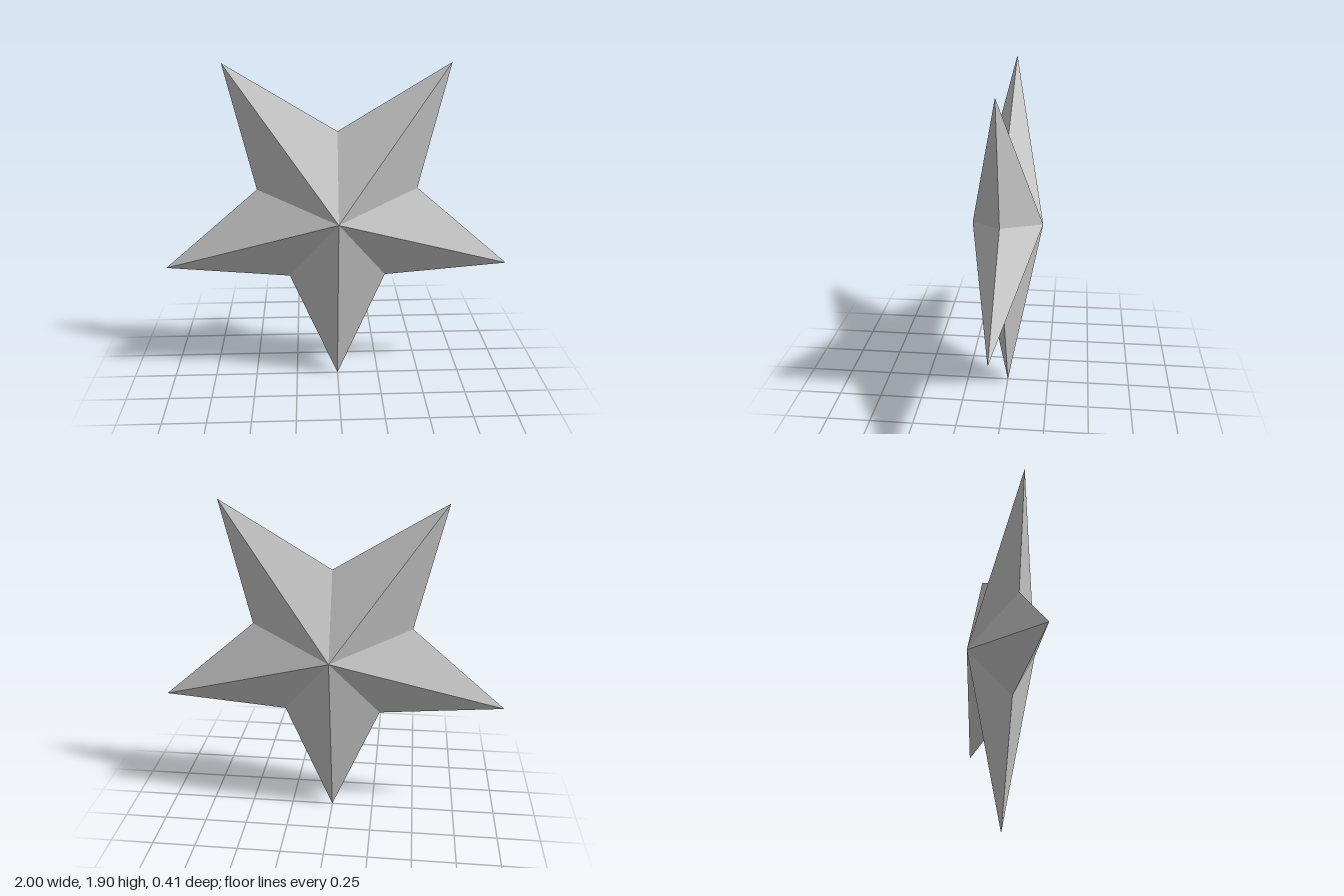
import * as THREE from 'three';

const POINTS = 5;
const OUTER = 1.0515; // tip radius
const INNER = 0.478; // notch radius
const DEPTH = 0.203; // apex height of each face

// Shallow star-shaped pyramid rising from the rim (z = 0) to an apex on +z
function starHalf() {
  const rim = [];
  for (let i = 0; i < POINTS * 2; i++) {
    const angle = -Math.PI / 2 + (i * Math.PI) / POINTS;
    const r = i % 2 ? INNER : OUTER;
    rim.push([r * Math.cos(angle), r * Math.sin(angle), 0]);
  }
  const positions = [];
  rim.forEach((p, i) => {
    positions.push(0, 0, DEPTH, ...p, ...rim[(i + 1) % rim.length]);
  });
  const geometry = new THREE.BufferGeometry();
  geometry.setAttribute('position', new THREE.Float32BufferAttribute(positions, 3));
  geometry.computeVertexNormals();
  return geometry;
}

export function createModel() {
  const model = new THREE.Group();
  model.name = 'star';
  const material = new THREE.MeshStandardMaterial({ color: 0xcccccc, flatShading: true });

  // Two matching halves meet at the sharp rim
  const front = new THREE.Mesh(starHalf(), material);
  front.name = 'frontHalf';
  const back = new THREE.Mesh(starHalf().rotateY(Math.PI), material);
  back.name = 'backHalf';

  // Lowest tip rests on the ground
  for (const half of [front, back]) {
    half.position.y = OUTER;
    model.add(half);
  }
  return model;
}
